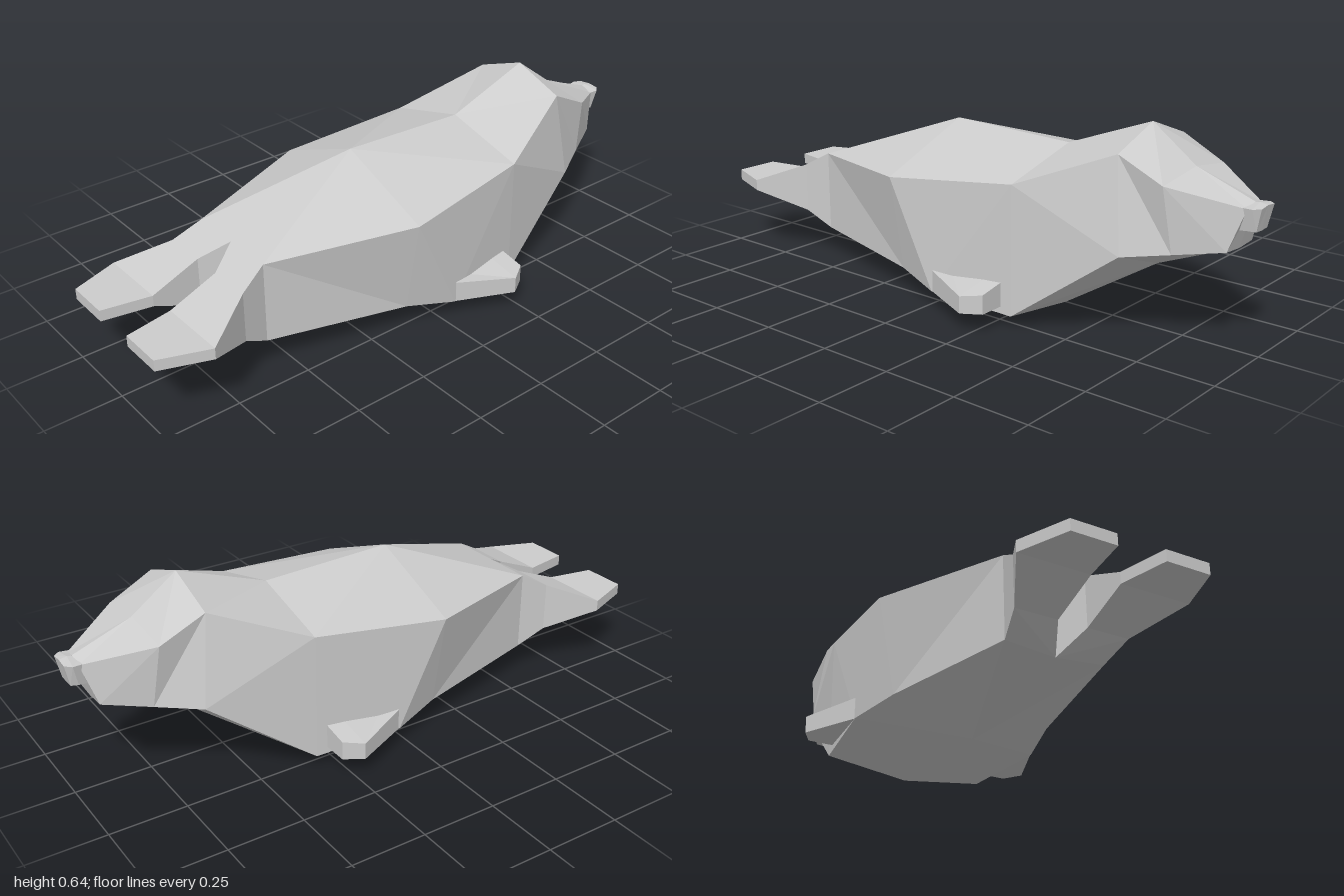
import * as THREE from 'three';

// Joins rows of points (listed from +z to -z) into a faceted skin for one side, s = 1 or -1.
// flips[i] lists the bands of span i whose diagonal runs the other way.
function loft(rows, s, { closed = true, capStart = true, flips = {} } = {}) {
  const pos = [];
  const tri = (a, b, c) => {
    const order = s > 0 ? [a, b, c] : [a, c, b];
    for (const p of order) pos.push(p[0] * s, p[1], p[2]);
  };
  const n = rows[0].length;
  for (let i = 0; i < rows.length - 1; i++) {
    const a = rows[i], b = rows[i + 1];
    for (let j = 0; j < (closed ? n : n - 1); j++) {
      const k = (j + 1) % n;
      if ((flips[i] || []).includes(j)) {
        tri(a[j], a[k], b[j]);
        tri(a[k], b[k], b[j]);
      } else {
        tri(a[j], a[k], b[k]);
        tri(a[j], b[k], b[j]);
      }
    }
  }
  const f = rows[0], l = rows[rows.length - 1];
  for (let j = 1; j < n - 1; j++) {
    if (capStart) tri(f[0], f[j + 1], f[j]);
    tri(l[0], l[j], l[j + 1]);
  }
  const g = new THREE.BufferGeometry();
  g.setAttribute('position', new THREE.Float32BufferAttribute(pos, 3));
  g.computeVertexNormals();
  return g;
}

// Rectangular cross-section: inner x, outer x, then heights of the four corners
const box = (z, xi, xo, topIn, topOut, lowOut, lowIn) =>
  [[xi, topIn, z], [xo, topOut, z], [xo, lowOut, z], [xi, lowIn, z]];

export function createModel() {
  const model = new THREE.Group();
  const grey = new THREE.MeshStandardMaterial({ color: 0xcccccc, flatShading: true });
  grey.name = 'sealGrey';

  // Half body sections: spine, upper side, lower side, belly
  const spine = [0, 0.545, 0.13], flank = [0.335, 0.41, 0.13], belly = [0, 0.003, 0.13];
  const body = [
    [[0, 0.38, 0.59], [0.17, 0.38, 0.59], [0.17, 0.11, 0.59], [0, 0.095, 0.59]],
    [spine, flank, [0.28, 0.093, 0.13], belly],
    [spine, flank, [0.327, 0.065, -0.035], belly],
    [[0, 0.53, -0.32], [0.285, 0.455, -0.32], [0.285, 0.04, -0.32], [0, 0.003, -0.32]],
    [[0, 0.64, -0.62], [0.18, 0.575, -0.62], [0.215, 0.285, -0.655], [0, 0.21, -0.655]],
    [[0, 0.53, -0.77], [0.172, 0.505, -0.765], [0.145, 0.302, -0.785], [0, 0.262, -0.785]],
    [[0, 0.46, -0.96], [0.045, 0.447, -0.96], [0.075, 0.32, -0.92], [0, 0.315, -0.92]],
  ];

  // Tail flipper, narrowing from the body and widening to a flat fin
  const tail = [
    box(1, 0.08, 0.23, 0.265, 0.265, 0.228, 0.228),
    box(0.84, 0.05, 0.29, 0.265, 0.265, 0.228, 0.228),
    box(0.68, 0.05, 0.195, 0.33, 0.33, 0.163, 0.163),
    box(0.59, 0, 0.17, 0.38, 0.38, 0.11, 0.095),
  ];

  // Short side flipper
  const flipper = [
    box(-0.04, 0.25, 0.327, 0.14, 0.135, 0.065, 0.065),
    box(-0.225, 0.25, 0.412, 0.15, 0.12, 0.065, 0.065),
    box(-0.285, 0.25, 0.375, 0.15, 0.126, 0.065, 0.065),
  ];

  // Half nose, a small block slanting back towards the chin
  const nose = [
    [[0, 0.455, -0.93], [0.05, 0.45, -0.94], [0.04, 0.38, -0.93], [0, 0.38, -0.93]],
    [[0, 0.461, -0.975], [0.055, 0.452, -0.98], [0.045, 0.385, -0.965], [0, 0.38, -0.965]],
    [[0, 0.457, -1], [0.038, 0.453, -1], [0.032, 0.382, -0.985], [0, 0.38, -0.985]],
  ];

  const add = (name, geometry) => {
    const mesh = new THREE.Mesh(geometry, grey);
    mesh.name = name;
    model.add(mesh);
  };
  for (const [side, s] of [['left', 1], ['right', -1]]) {
    add(side + 'Body', loft(body, s, { closed: false, capStart: false, flips: { 0: [0], 2: [1] } }));
    add(side + 'TailFlipper', loft(tail, s));
    add(side + 'FrontFlipper', loft(flipper, s));
    add(side + 'Nose', loft(nose, s, { closed: false }));
  }
  return model;
}
